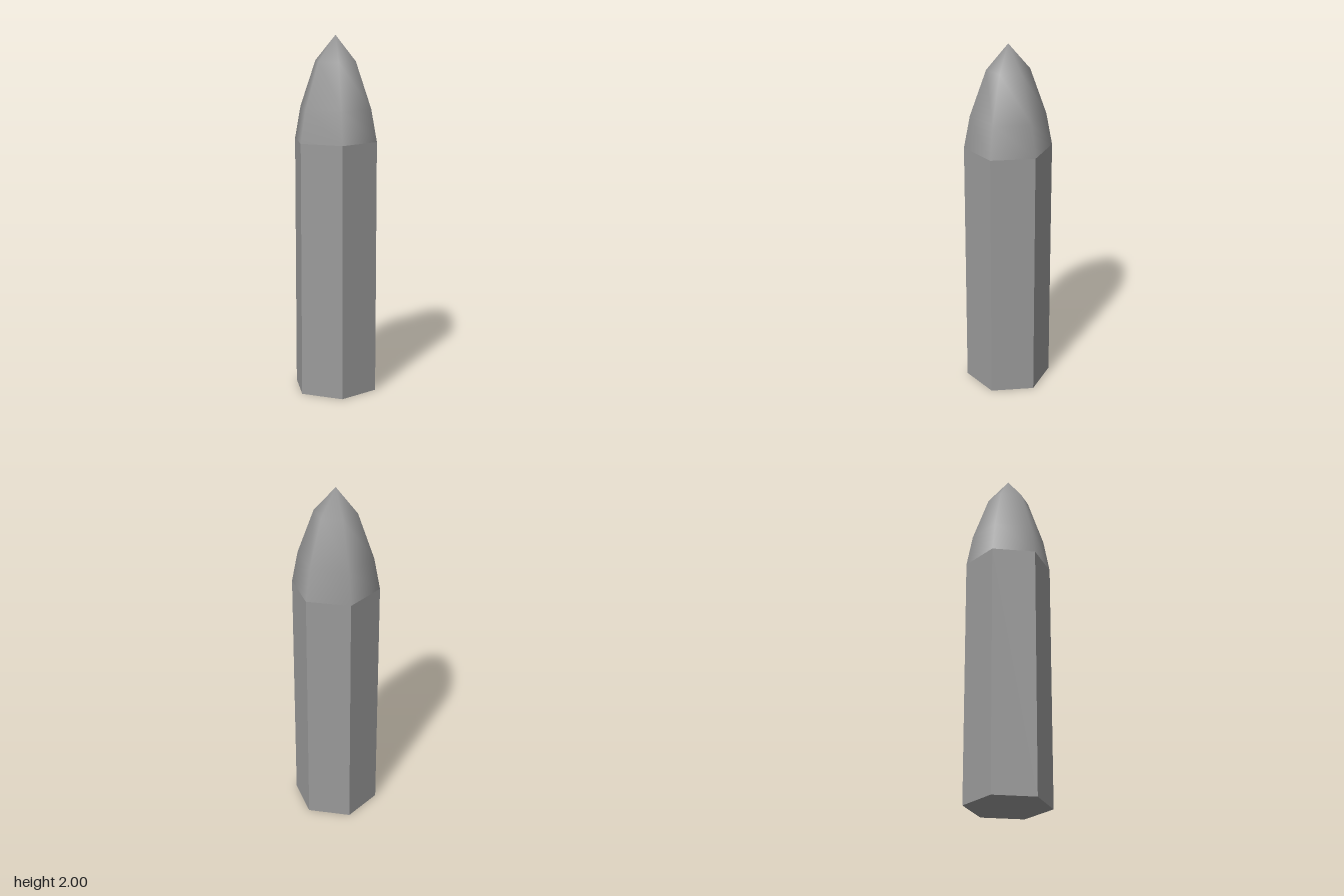
import * as THREE from 'three';

const SIDES = 6;
const RADIUS = 0.242;
const SHOULDER = 1.425;
const TURN = Math.PI / 12; // the hexagon is twisted 15 degrees about y

// Hexagonal solid of revolution from [radius, height] pairs, bottom to top
function hexLathe(name, profile, flatShading) {
  const points = profile.map(([r, y]) => new THREE.Vector2(r, y));
  const geometry = new THREE.LatheGeometry(points, SIDES, TURN);
  const material = new THREE.MeshStandardMaterial({ color: 0x9a9a9a, flatShading });
  const mesh = new THREE.Mesh(geometry, material);
  mesh.name = name;
  return mesh;
}

export function createModel() {
  const group = new THREE.Group();
  group.name = 'pointedHexagonalPillar';

  // Straight faceted shaft, closed at the bottom
  group.add(hexLathe('shaft', [[0, 0], [RADIUS, 0], [RADIUS, SHOULDER]], true));

  // Smooth-shaded tapering tip
  const profile = [[RADIUS, SHOULDER], [0.208, 1.605], [0.118, 1.86], [0, 2]];
  const tip = hexLathe('tip', profile, false);
  group.add(tip);

  // One shared upward normal rounds off the shading at the apex
  const normals = tip.geometry.attributes.normal;
  for (let i = 0; i <= SIDES; i++) normals.setXYZ((i + 1) * profile.length - 1, 0, 1, 0);

  return group;
}
